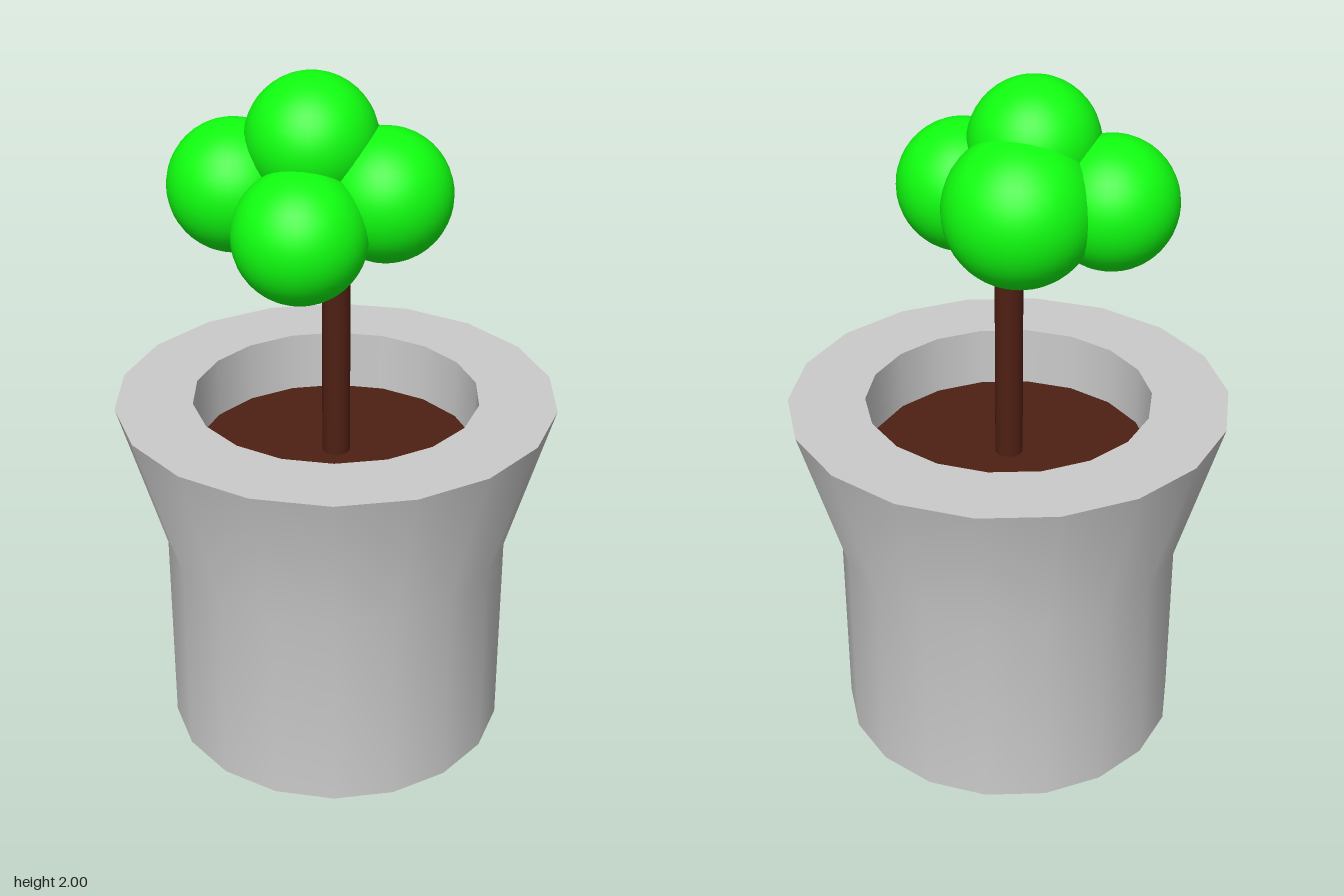
import * as THREE from 'three';

const SIDES = 18;
const SOIL_Y = 0.88;

const grey = new THREE.MeshStandardMaterial({ color: 0xcccccc });
const brown = new THREE.MeshStandardMaterial({ color: 0x4e1f13 });
const green = new THREE.MeshStandardMaterial({ color: 0x10ff10 });

function add(parent, name, geometry, material, x = 0, y = 0, z = 0) {
  const mesh = new THREE.Mesh(geometry, material);
  mesh.name = name;
  mesh.position.set(x, y, z);
  parent.add(mesh);
  return mesh;
}

// Turned surface with a corner on the x axis; points are [radius, height]
function turned(points) {
  const profile = points.map(([r, y]) => new THREE.Vector2(r, y));
  return new THREE.LatheGeometry(profile, SIDES, Math.PI / 2);
}

export function createModel() {
  const model = new THREE.Group();
  model.name = 'pottedTree';

  // Pot: separate surfaces keep the rim and base edges sharp
  const pot = new THREE.Group();
  pot.name = 'pot';
  model.add(pot);
  add(pot, 'potBase', turned([[0, 0], [0.5, 0]]), grey);
  add(pot, 'potOuterWall', turned([[0.5, 0], [0.5, 0.61], [0.63, 1.06]]), grey);
  add(pot, 'potRim', turned([[0.63, 1.06], [0.41, 1.06]]), grey);
  add(pot, 'potInnerWall', turned([[0.41, 1.06], [0.41, SOIL_Y]]), grey);

  // Soil fills the opening below the rim
  add(model, 'soil', turned([[0.41, SOIL_Y], [0, SOIL_Y]]), brown);

  // Trunk runs from the soil up into the foliage
  const trunkTop = 1.62;
  add(model, 'trunk', new THREE.CylinderGeometry(0.04, 0.04, trunkTop - SOIL_Y, 18),
    brown, 0, (trunkTop + SOIL_Y) / 2, 0);

  // Foliage: overlapping balls as [name, radius, x, y, z]
  const foliage = new THREE.Group();
  foliage.name = 'foliage';
  model.add(foliage);
  const balls = [
    ['foliageTop', 0.18, -0.06, 1.82, 0.03],
    ['foliageRight', 0.182, -0.275, 1.68, 0.03],
    ['foliageLeft', 0.182, 0.14, 1.68, 0.03],
    ['foliageFront', 0.182, -0.06, 1.61, 0.195],
    ['foliageBack', 0.208, -0.06, 1.68, -0.095],
  ];
  for (const [name, r, x, y, z] of balls) {
    add(foliage, name, new THREE.SphereGeometry(r, 40, 24), green, x, y, z);
  }

  return model;
}
